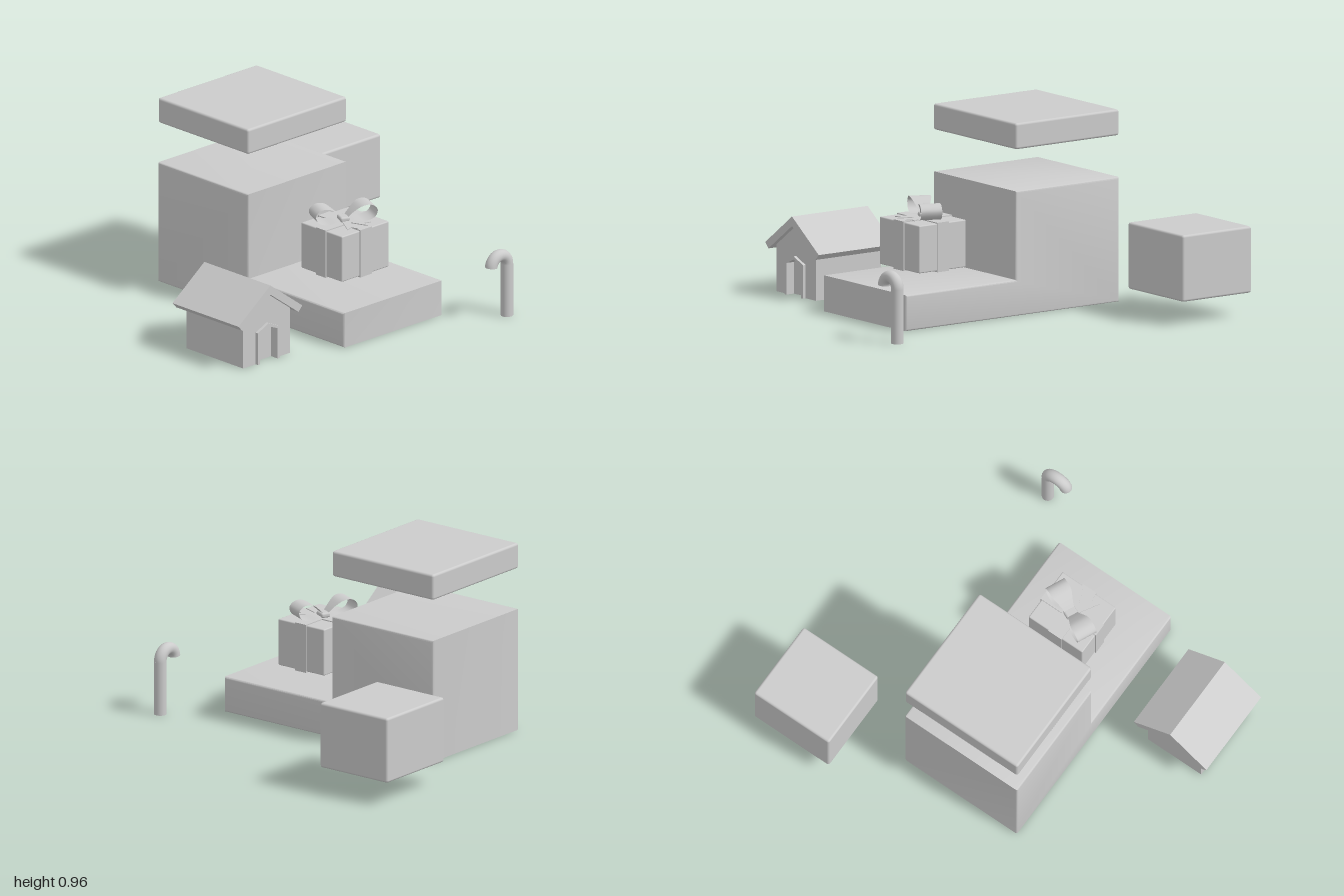
import * as THREE from 'three';
import { toCreasedNormals } from 'three/addons/utils/BufferGeometryUtils.js';
import { RoundedBoxGeometry } from 'three/addons/geometries/RoundedBoxGeometry.js';

const grey = new THREE.MeshStandardMaterial({ color: 0xcccccc });
const greyThin = new THREE.MeshStandardMaterial({ color: 0xcccccc, side: THREE.DoubleSide });

function add(parent, name, geometry, x = 0, y = 0, z = 0, material = grey) {
  const mesh = new THREE.Mesh(geometry, material);
  mesh.name = name;
  mesh.position.set(x, y, z);
  parent.add(mesh);
  return mesh;
}

function subgroup(parent, name, x, y, z) {
  const g = new THREE.Group();
  g.name = name;
  g.position.set(x, y, z);
  parent.add(g);
  return g;
}

const outline = (pts) => new THREE.Shape(pts.map(([x, y]) => new THREE.Vector2(x, y)));
const slab = (shape, depth) => new THREE.ExtrudeGeometry(shape, { depth, bevelEnabled: false });

// Rounded box given by its limits
function roundedBox(parent, name, [x0, x1], [y0, y1], [z0, z1], r) {
  return add(parent, name, new RoundedBoxGeometry(x1 - x0, y1 - y0, z1 - z0, 3, r),
    (x0 + x1) / 2, (y0 + y1) / 2, (z0 + z1) / 2);
}

// Stepped block: low front platform and tall back in one L-shaped profile
function buildSteppedBlock(root) {
  const b = 0.01;
  const shape = outline([
    [-0.645 + b, b], [0.665 - b, b], [0.665 - b, 0.18 - b],
    [-0.01 - b, 0.18 - b], [-0.01 - b, 0.622 - b], [-0.645 + b, 0.622 - b],
  ]);
  const geo = new THREE.ExtrudeGeometry(shape, {
    depth: 0.675 - 2 * b, bevelThickness: b, bevelSize: b, bevelSegments: 3,
  });
  add(root, 'steppedBlock', toCreasedNormals(geo, 0.7), 0.29 - b, 0, 0).rotation.y = -Math.PI / 2;
}

// Small gabled house with a pointed doorway
function buildHouse(root) {
  const house = subgroup(root, 'house', -0.782, 0, 0);
  const wallTop = 0.236, peak = 0.355, half = 0.16;
  const gable = [[-half, 0], [half, 0], [half, wallTop], [0, peak], [-half, wallTop]];
  add(house, 'walls', slab(outline(gable), 0.37), 0, 0, 0.13);

  const door = (w, shoulder, top) => [[-w, 0], [-w, shoulder], [0, top], [w, shoulder], [w, 0]];
  const inner = door(0.06, 0.158, 0.184);
  const front = [[half, 0], [half, wallTop], [0, peak], [-half, wallTop], [-half, 0], ...inner];
  add(house, 'frontWall', slab(outline(front), 0.03), 0, 0, 0.5);
  const frame = [...door(0.075, 0.166, 0.2), ...inner.slice().reverse()];
  add(house, 'doorFrame', slab(outline(frame), 0.035), 0, 0, 0.511);

  const roof = [[0, 0.4], [-0.218, 0.24], [-0.192, 0.212], [0, 0.352], [0.192, 0.212], [0.218, 0.24]];
  add(house, 'roof', slab(outline(roof), 0.465), 0, 0, 0.092);
}

// Bow loop: a ribbon following a closed curve, widening away from the knot
function bowLoop() {
  const curve = new THREE.CatmullRomCurve3([
    [0.008, 0.018], [0.045, 0.055], [0.085, 0.083], [0.13, 0.085],
    [0.16, 0.058], [0.148, 0.022], [0.105, 0.006], [0.05, 0.008], [0.008, 0.008],
  ].map(([x, y]) => new THREE.Vector3(x, y, 0)));
  const steps = 36;
  const geo = new THREE.PlaneGeometry(1, 1, steps, 4);
  const pos = geo.attributes.position;
  for (let i = 0; i < pos.count; i++) {
    const p = curve.getPoint(THREE.MathUtils.clamp(pos.getX(i) + 0.5, 0, 1));
    const width = THREE.MathUtils.lerp(0.055, 0.106, THREE.MathUtils.smoothstep(p.x, 0.01, 0.1));
    pos.setXYZ(i, p.x, p.y, pos.getY(i) * width);
  }
  geo.computeVertexNormals();
  return geo;
}

function buildGift(root) {
  const gift = subgroup(root, 'gift', -0.037, 0.24, 0.315);
  const w = 0.322, h = 0.237, d = 0.288, t = 0.005;
  add(gift, 'giftBox', new RoundedBoxGeometry(w, h, d, 2, 0.006), 0, h / 2, 0);
  // Ribbon bands crossing over the box
  add(gift, 'ribbonBandLengthwise', new THREE.BoxGeometry(0.08, h + 2 * t, d + 2 * t), 0, h / 2, 0);
  add(gift, 'ribbonBandCrosswise', new THREE.BoxGeometry(w + 2 * t, h + 2 * t, 0.07), 0, h / 2, 0);

  const bow = subgroup(gift, 'bow', 0, h + 0.003, -0.012);
  bow.rotation.y = -0.43;
  const loop = bowLoop();
  for (const side of [0, 1]) {
    add(bow, side ? 'rightBowLoop' : 'leftBowLoop', loop, 0, 0, 0, greyThin).rotation.y = side * Math.PI;
  }
  add(bow, 'knot', new RoundedBoxGeometry(0.05, 0.026, 0.064, 3, 0.01), 0, 0.014, 0);

  // Notched ribbon tails lying on the top
  const tail = slab(outline([[-0.015, 0], [0.015, 0], [0.026, 0.13], [0, 0.105], [-0.026, 0.13]]), 0.004);
  tail.rotateX(Math.PI / 2);
  for (const s of [-1, 1]) {
    add(bow, s < 0 ? 'leftTail' : 'rightTail', tail, 0, 0.007, 0.015).rotation.y = s * 0.45 + 0.43;
  }
}

// Hooked cane: straight stem, half-circle hook, flat ends
function buildCane(root) {
  const cane = subgroup(root, 'cane', 0.46, 0, 0.887);
  const r = 0.054, tube = 0.031, bend = 0.27;
  const arc = Math.PI * 0.97;
  add(cane, 'stem', new THREE.CylinderGeometry(tube, tube, bend, 24), r, bend / 2, 0);
  add(cane, 'hook', new THREE.TorusGeometry(r, tube, 20, 28, arc), 0, bend, 0);
  const cap = add(cane, 'hookEnd', new THREE.CircleGeometry(tube, 20),
    Math.cos(arc) * r, bend + Math.sin(arc) * r, 0, greyThin);
  cap.rotation.set(Math.PI / 2, arc - Math.PI, 0);
}

export function createModel() {
  const root = new THREE.Group();
  root.name = 'festiveSet';
  buildSteppedBlock(root);
  roundedBox(root, 'floatingSlab', [-0.385, 0.29], [0.83, 0.96], [-0.645, -0.01], 0.012);
  roundedBox(root, 'floatingCube', [0.55, 1], [0.12, 0.452], [-0.923, -0.5], 0.012);
  buildHouse(root);
  buildGift(root);
  buildCane(root);
  return root;
}
